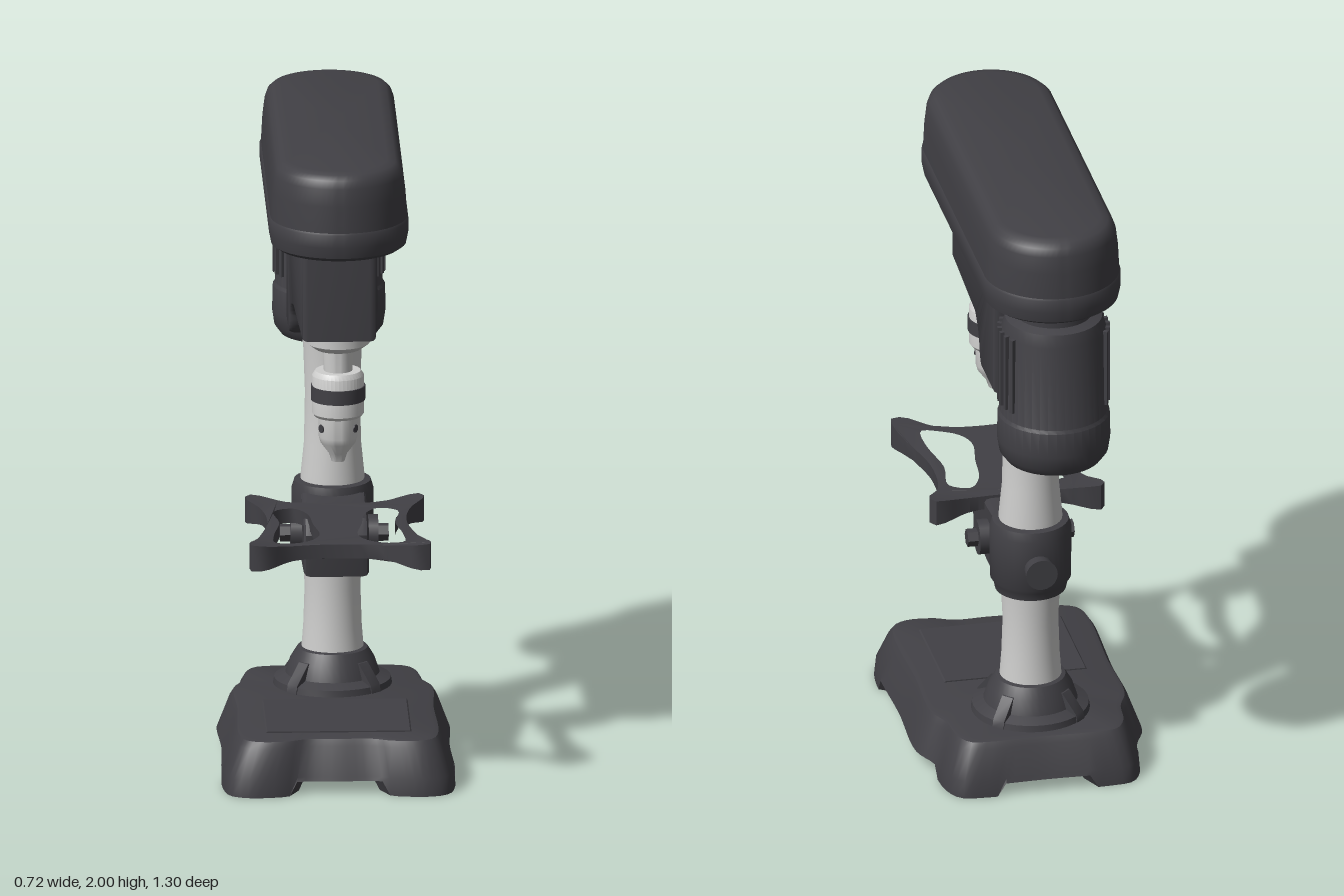
import * as THREE from 'three';
import { toCreasedNormals } from 'three/addons/utils/BufferGeometryUtils.js';

export function createModel() {
  const model = new THREE.Group();
  model.name = 'drillPress';
  const casting = new THREE.MeshStandardMaterial({ name: 'charcoal casting', color: 0x414045 });
  const steel = new THREE.MeshStandardMaterial({ name: 'pale steel', color: 0xcfcfce });

  const add = (name, geo, mat, x = 0, y = 0, z = 0, crease = 0.6) => {
    const mesh = new THREE.Mesh(toCreasedNormals(geo, crease), mat);
    mesh.name = name;
    mesh.position.set(x, y, z);
    model.add(mesh);
    return mesh;
  };
  const lathe = (pts, n = 40) =>
    new THREE.LatheGeometry(pts.map(([r, y]) => new THREE.Vector2(r, y)), n);

  // Skin between closed rings of [x, y, z], lowest first, capped at both ends
  const loft = (rings) => {
    const n = rings[0].length, pos = rings.flat(2), idx = [];
    for (let r = 0; r < rings.length - 1; r++)
      for (let i = 0; i < n; i++) {
        const a = r * n + i, b = r * n + (i + 1) % n;
        idx.push(a, b, b + n, a, b + n, a + n);
      }
    [rings[0], rings.at(-1)].forEach((ring, k) => {
      const c = pos.length / 3, s = k ? (rings.length - 1) * n : 0;
      const mid = [0, 1, 2].map((d) => ring.reduce((t, p) => t + p[d], 0) / n);
      pos.push(...mid);
      for (let i = 0; i < n; i++) {
        const a = s + i, b = s + (i + 1) % n;
        idx.push(c, ...(k ? [a, b] : [b, a]));
      }
    });
    const g = new THREE.BufferGeometry();
    g.setAttribute('position', new THREE.Float32BufferAttribute(pos, 3));
    g.setIndex(idx);
    return g;
  };

  // Symmetric smooth outline from its +x half, front to back, as [x, z]
  const outline = (half, n) => {
    const all = [...half, ...half.slice(1, -1).reverse().map(([x, z]) => [-x, z])];
    return new THREE.CatmullRomCurve3(all.map(([x, z]) => new THREE.Vector3(x, 0, z)), true, 'centripetal')
      .getSpacedPoints(n).slice(0, n);
  };
  const profile = (pts) => new THREE.Shape(pts.map(([a, b]) => new THREE.Vector2(a, b)));

  // Base with four corner feet and arched edges
  const foot = outline([[0, 0.555], [0.12, 0.555], [0.18, 0.58], [0.28, 0.588], [0.335, 0.56], [0.357, 0.48],
    [0.352, 0.15], [0.355, -0.12], [0.32, -0.21], [0.305, -0.32], [0.27, -0.38], [0.2, -0.392], [0, -0.39]], 120);
  const arch = (p) => ((p.z > 0.41 || p.z < -0.24) && Math.abs(p.x) > 0.14 ? 0 : 0.042);
  const baseRing = (inset, y) => foot.map((p) => [p.x * (1 - inset / 0.355),
    typeof y === 'function' ? y(p) : y, 0.1 + (p.z - 0.1) * (1 - inset / 0.49)]);
  add('base', loft([baseRing(0.09, 0.045), baseRing(0.07, arch), baseRing(0, arch), baseRing(0.005, 0.055),
    baseRing(0.038, 0.145), baseRing(0.05, 0.165), baseRing(0.065, 0.17)]), casting);
  add('baseTopPad', loft([[0.23, 0.165], [0.22, 0.174]].map(([w, y]) =>
    [[-w, 0.45], [w, 0.45], [w, 0.08], [-w, 0.08]].map(([x, z]) => [x, y, z]))), casting);

  // Column socket with ribs
  const cz = -0.135;
  add('columnSocket', lathe([[0, 0.16], [0.185, 0.16], [0.18, 0.19], [0.145, 0.205], [0.13, 0.25],
    [0.108, 0.285], [0.09, 0.29], [0, 0.29]]), casting, 0, 0, cz);
  for (let i = 0; i < 4; i++) {
    const rib = new THREE.ExtrudeGeometry(profile([[0.08, 0.17], [0.185, 0.17], [0.18, 0.195], [0.13, 0.255], [0.08, 0.265]]),
      { depth: 0.04, bevelEnabled: false });
    rib.translate(0, 0, -0.02).rotateY(Math.PI / 4 + i * Math.PI / 2);
    add('socketRib', rib, casting, 0, 0, cz);
  }

  // Column, slightly flared where it enters each casting
  add('column', lathe([[0.096, 0.28], [0.09, 0.36], [0.086, 0.48], [0.092, 0.6], [0.1, 0.7], [0.098, 0.84],
    [0.088, 0.94], [0.085, 1.1], [0.09, 1.24], [0.098, 1.33]]), steel, 0, 0, cz, 1);

  // Table collar, clamp and arm
  add('tableCollar', lathe([[0.09, 0.59], [0.11, 0.585], [0.115, 0.61], [0.125, 0.625], [0.127, 0.79],
    [0.118, 0.82], [0.09, 0.825]]), casting, 0, 0, cz);
  add('collarKnob', new THREE.CylinderGeometry(0.042, 0.05, 0.07, 20).rotateX(Math.PI / 2), casting, 0, 0.7, -0.268);
  const arm = new THREE.ExtrudeGeometry(profile([[-0.06, 0.6], [0.05, 0.6], [0.23, 0.62], [0.245, 0.74],
    [0.2, 0.775], [0.04, 0.78], [-0.06, 0.79]]),
    { depth: 0.16, bevelSize: 0.012, bevelThickness: 0.02, bevelSegments: 2 });
  add('tableArm', arm.translate(0, 0, -0.08).rotateY(-Math.PI / 2), casting);
  add('tiltPivot', new THREE.CylinderGeometry(0.055, 0.055, 0.27, 20).rotateZ(Math.PI / 2), casting, 0, 0.69, 0.02);
  for (const s of [-1, 1])
    add('pivotBolt', new THREE.CylinderGeometry(0.028, 0.028, 0.035, 6).rotateZ(Math.PI / 2), casting, s * 0.15, 0.69, 0.02);

  // Table with pinched sides, raised corners and two long openings
  const tableShape = new THREE.Shape(outline([[0, 0.555], [0.14, 0.575], [0.235, 0.632], [0.275, 0.625], [0.278, 0.58],
    [0.24, 0.44], [0.215, 0.3], [0.23, 0.15], [0.276, 0.07], [0.262, 0.036], [0.14, 0.07], [0, 0.075]], 80)
    .map((p) => new THREE.Vector2(p.x, p.z)));
  for (const s of [-1, 1])
    tableShape.holes.push(new THREE.Path(new THREE.CatmullRomCurve3(
      [[0.06, 0.45], [0.1, 0.52], [0.195, 0.55], [0.2, 0.45], [0.178, 0.3], [0.19, 0.17], [0.13, 0.14], [0.09, 0.2], [0.075, 0.32]]
        .map(([x, z]) => new THREE.Vector3(s * x, z, 0)), true).getPoints(36).map((p) => new THREE.Vector2(p.x, p.y))));
  const table = new THREE.ExtrudeGeometry(tableShape, { depth: 0.045, bevelEnabled: false, curveSegments: 1 });
  table.rotateX(Math.PI / 2);
  const tp = table.attributes.position;
  for (let i = 0; i < tp.count; i++) {
    const x = Math.abs(tp.getX(i)), z = tp.getZ(i), top = tp.getY(i) > -0.02;
    const corner = THREE.MathUtils.smoothstep(x, 0.12, 0.27) * THREE.MathUtils.smoothstep(Math.abs(z - 0.33), 0.14, 0.29);
    tp.setY(i, tp.getY(i) + 0.8 + (top ? 0.018 : -0.02) * corner);
  }
  add('table', table, casting);
  add('tableHub', new THREE.CylinderGeometry(0.065, 0.05, 0.06, 24), casting, 0, 0.765, 0.3);

  // Head casting: side profile given as (z, y), wider toward the column
  const side = new THREE.Shape();
  side.moveTo(0.475, 1.75);
  side.lineTo(0.475, 1.44);
  side.lineTo(0.08, 1.44);
  side.quadraticCurveTo(0, 1.43, -0.02, 1.38);
  side.quadraticCurveTo(-0.03, 1.33, -0.06, 1.32);
  side.lineTo(-0.23, 1.32);
  side.lineTo(-0.24, 1.75);
  const head = new THREE.ExtrudeGeometry(side, { depth: 0.2, bevelSize: 0.012, bevelThickness: 0.02, bevelSegments: 3 });
  head.translate(0, 0, -0.1).rotateY(-Math.PI / 2);
  const hp = head.attributes.position;
  for (let i = 0; i < hp.count; i++)
    hp.setX(i, hp.getX(i) * (1 + 0.22 * THREE.MathUtils.smoothstep(-hp.getZ(i), -0.3, 0.1)) * 0.95);
  add('headCasting', head, casting);

  // Belt cover: stacked long rounded outlines
  const stadium = ([y, w, l]) => Array.from({ length: 72 }, (_, i) => {
    const t = (i + 0.5) / 72 * Math.PI * 2, c = Math.cos(t);
    return [w * Math.sin(t), y, w * c + Math.sign(c) * (l - w)];
  });
  add('coverRim', loft([[1.7, 0.15, 0.53], [1.722, 0.19, 0.62], [1.735, 0.208, 0.64], [1.77, 0.215, 0.648],
    [1.81, 0.215, 0.648], [1.82, 0.209, 0.643]].map(stadium)), casting);
  add('beltCover', loft([[1.81, 0.211, 0.645], [1.9, 0.206, 0.642], [1.955, 0.199, 0.637], [1.98, 0.19, 0.628],
    [1.994, 0.175, 0.612], [2, 0.15, 0.585]].map(stadium)), casting, 0, 0, 0, 0.8);

  // Motor with cooling ribs, hung behind the head
  const mz = -0.472;
  add('motor', lathe([[0, 1.187], [0.11, 1.187], [0.148, 1.198], [0.168, 1.225], [0.175, 1.27], [0.173, 1.35],
    [0.166, 1.36], [0.162, 1.64], [0.15, 1.68], [0.12, 1.69], [0.12, 1.73], [0, 1.73]]), casting, 0, 0, mz);
  for (const s of [-1, 1])
    for (let i = 0; i < 6; i++) {
      const a = s * (Math.PI / 2 + (i - 2.5) * 0.2);
      add('motorRib', new THREE.BoxGeometry(0.014, 0.25, 0.02).rotateY(a), casting,
        Math.sin(a) * 0.164, 1.52, mz + Math.cos(a) * 0.164);
    }
  for (const y of [1.375, 1.69])
    add('motorMount', new THREE.BoxGeometry(0.14, 0.05, 0.14), casting, 0, y, -0.28);

  // Spindle and chuck
  const sz = 0.382;
  add('spindle', lathe([[0.1, 1.45], [0.098, 1.4], [0.07, 1.38], [0.046, 1.375], [0.044, 1.31], [0, 1.31]].reverse()),
    steel, 0, 0, sz);
  add('chuckBody', lathe([[0, 1.165], [0.072, 1.165], [0.08, 1.175], [0.08, 1.295], [0.07, 1.31], [0, 1.31]]),
    steel, 0, 0, sz);
  add('chuckBand', new THREE.CylinderGeometry(0.084, 0.084, 0.045, 40), casting, 0, 1.24, sz);
  add('chuckNose', lathe([[0, 1.02], [0.02, 1.02], [0.028, 1.045], [0.054, 1.08], [0.06, 1.1], [0.06, 1.17]]),
    steel, 0, 0, sz);
  for (let i = 0; i < 3; i++) {
    const a = Math.PI / 3 + i * Math.PI * 2 / 3;
    add('jawHole', new THREE.CylinderGeometry(0.013, 0.013, 0.008, 14).rotateX(Math.PI / 2).rotateY(a), casting,
      Math.sin(a) * 0.059, 1.13, sz + Math.cos(a) * 0.059);
  }
  return model;
}
